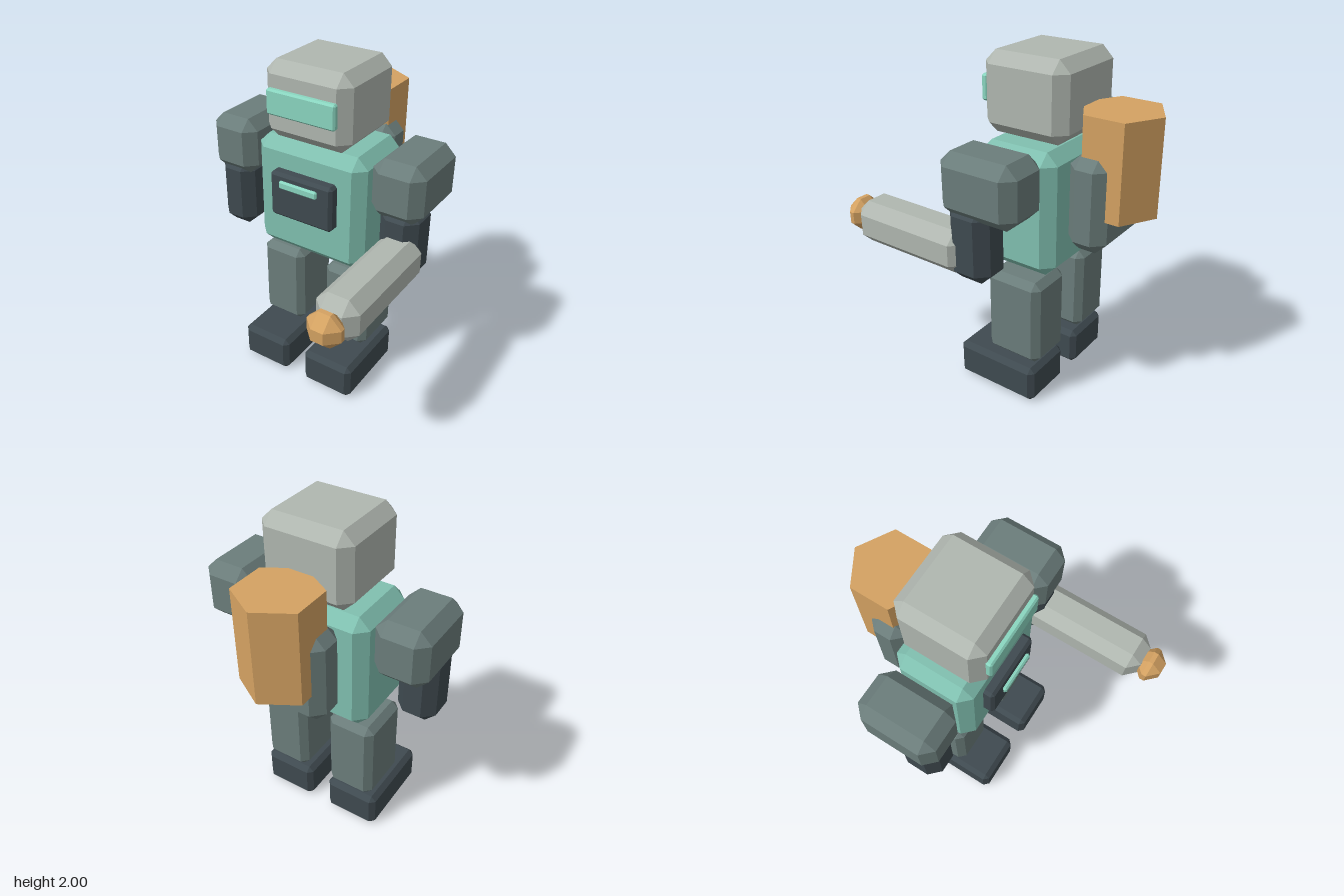
import * as THREE from 'three';
import { ConvexGeometry } from 'three/addons/geometries/ConvexGeometry.js';

const mat = (name, color) => {
  const m = new THREE.MeshStandardMaterial({ color });
  m.name = name;
  return m;
};

// Box with flat chamfered edges, given by its min and max on each axis
function chamferBox([x0, x1], [y0, y1], [z0, z1], bevel) {
  const half = [(x1 - x0) / 2, (y1 - y0) / 2, (z1 - z0) / 2];
  const points = [];
  for (const sx of [-1, 1]) for (const sy of [-1, 1]) for (const sz of [-1, 1]) {
    const s = [sx, sy, sz];
    // each corner is cut into three points, one on each adjoining face
    for (let axis = 0; axis < 3; axis++) {
      points.push(new THREE.Vector3(...half.map((h, i) => s[i] * (i === axis ? h : h - bevel))));
    }
  }
  return new ConvexGeometry(points).translate((x0 + x1) / 2, (y0 + y1) / 2, (z0 + z1) / 2);
}

export function createModel() {
  const group = new THREE.Group();
  group.name = 'robot';

  const grey = mat('light grey metal', 0xb0b7b0);
  const teal = mat('teal body', 0x80c0b0);
  const glow = mat('bright teal light', 0x8ad6c0);
  const slate = mat('slate limbs', 0x6b7d7b);
  const dark = mat('dark metal', 0x3f4a50);
  const gold = mat('gold', 0xd4a262);

  const add = (name, geometry, material) => {
    const mesh = new THREE.Mesh(geometry, material);
    mesh.name = name;
    group.add(mesh);
  };
  const box = (name, x, y, z, bevel, material) => add(name, chamferBox(x, y, z, bevel), material);

  // Head and torso
  box('head', [-0.274, 0.27], [1.56, 2.0], [-0.41, 0.11], 0.065, grey);
  box('visor', [-0.22, 0.215], [1.715, 1.86], [0.1, 0.14], 0.01, glow);
  box('torso', [-0.36, 0.354], [0.835, 1.545], [-0.4, 0.08], 0.065, teal);
  box('chestPanel', [-0.208, 0.202], [1.1, 1.38], [0.05, 0.143], 0.018, dark);
  box('chestLight', [-0.127, 0.123], [1.302, 1.35], [0.15, 0.174], 0.009, glow);

  // Arms and legs, mirrored about the slightly offset body centre
  for (const [side, s] of [['left', 1], ['right', -1]]) {
    const span = (a, b) => [s * a - 0.003, s * b - 0.003].sort((p, q) => p - q);
    box(side + 'UpperArm', span(0.384, 0.695), [1.24, 1.585], [-0.397, 0.077], 0.065, slate);
    box(side + 'Forearm', span(0.433, 0.667), [0.865, 1.31], [-0.205, 0.055], 0.063, dark);
    box(side + 'Leg', span(0.082, 0.374), [0.26, 0.787], [-0.335, 0.018], 0.04, slate);
    box(side + 'Foot', span(0.062, 0.396), [0, 0.227], [-0.317, 0.217], 0.03, dark);
  }

  // Barrel held in the left hand, with a gold tip
  box('barrel', [0.443, 0.695], [0.895, 1.147], [-0.06, 0.705], 0.065, grey);
  box('barrelTip', [0.47, 0.668], [0.924, 1.12], [0.672, 0.827], 0.064, gold);

  // Backpack with a six-sided canister
  box('backpack', [-0.255, 0.25], [1.0, 1.537], [-0.642, -0.41], 0.065, slate);
  const canister = new THREE.CylinderGeometry(0.23, 0.23, 0.545, 6).toNonIndexed();
  canister.computeVertexNormals();
  canister.translate(-0.003, 1.472, -0.596);
  add('canister', canister, gold);

  return group;
}
